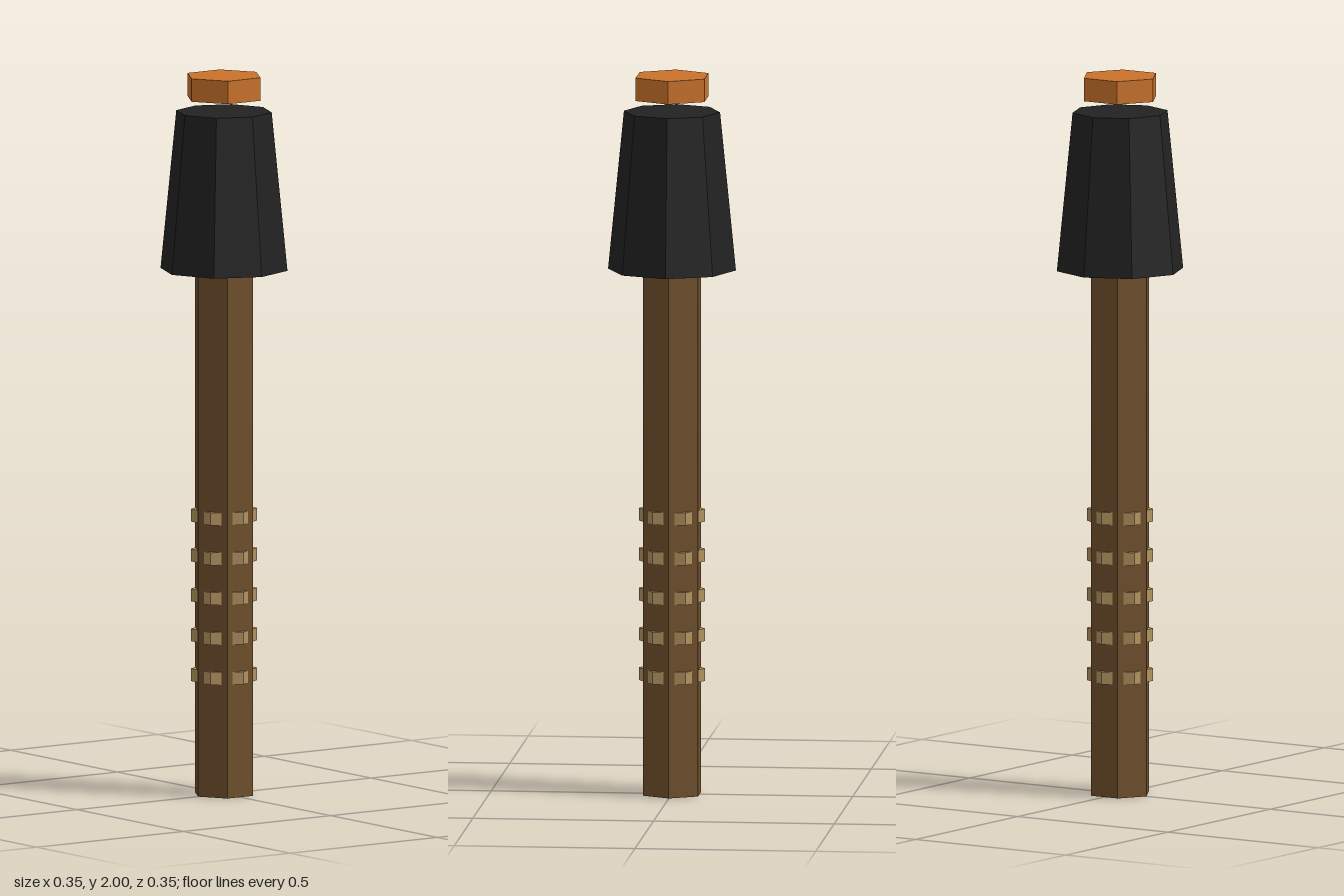
import * as THREE from 'three';

const flat = (name, color) => {
  const m = new THREE.MeshStandardMaterial({ color });
  m.name = name;
  return m;
};

export function createModel() {
  const group = new THREE.Group();
  group.name = 'torch';
  const wood = flat('wood', 0x70502c);
  const binding = flat('binding', 0xb0925f);
  const iron = flat('blackIron', 0x222222);
  const ember = flat('ember', 0xca722c);

  // Faceted prism between two heights, with a corner facing +z unless turned
  const prism = (name, material, rTop, rBottom, y0, y1, sides, turn = 0) => {
    const geo = new THREE.CylinderGeometry(rTop, rBottom, y1 - y0, sides);
    geo.rotateY(turn);
    const mesh = new THREE.Mesh(geo, material);
    mesh.name = name;
    mesh.position.y = (y0 + y1) / 2;
    group.add(mesh);
  };

  // Hexagonal handle with a pale end grain underneath
  prism('handle', [wood, wood, binding], 0.088, 0.088, 0, 1.5, 6);

  // Grip bands, turned so they break through the middle of each handle face
  for (let i = 0; i < 5; i++) {
    const y = 0.333 + i * 0.111;
    prism('gripBand' + (i + 1), binding, 0.0915, 0.0915, y - 0.0175, y + 0.0175, 6, Math.PI / 6);
  }

  // Tapered eight-sided head
  prism('head', iron, 0.133, 0.177, 1.46, 1.9, 8);

  // Cap floating just above the head
  prism('cap', ember, 0.11, 0.11, 1.936, 2, 6);

  // Crisp facets on every part
  group.traverse((o) => {
    if (!o.isMesh) return;
    const groups = o.geometry.groups;
    const g = o.geometry.toNonIndexed();
    g.clearGroups();
    groups.forEach((p) => g.addGroup(p.start, p.count, p.materialIndex));
    g.computeVertexNormals();
    o.geometry = g;
  });
  return group;
}
